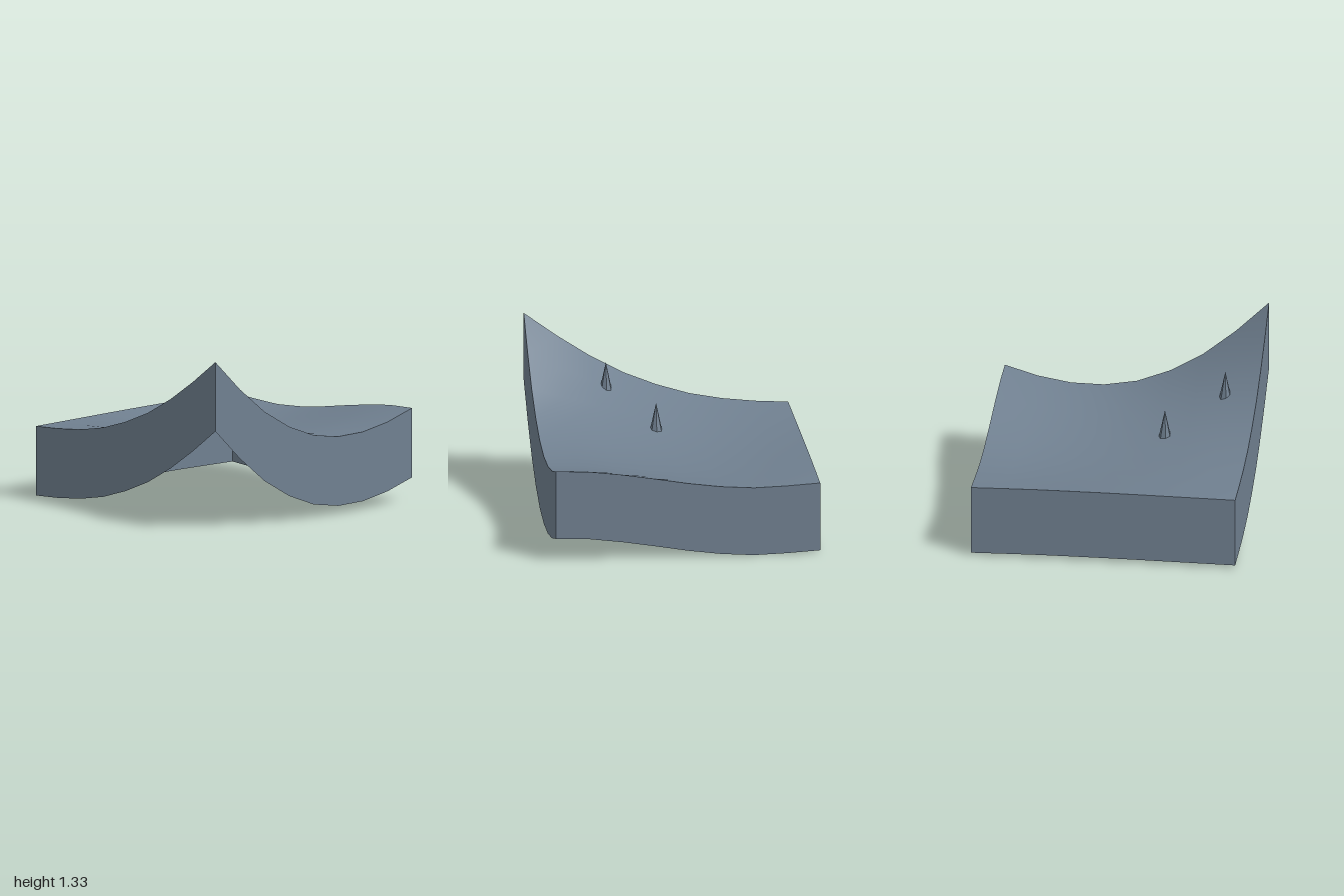
import * as THREE from 'three';

const SEGMENTS = 8;
const WALL_HEIGHT = 0.53;

// Heights along the four edges, from -1 to +1
const frontEdge = [0.553, 0.57, 0.6, 0.65, 0.73, 0.835, 0.975, 1.143, 1.33];
const backEdge = [0.55, 0.537, 0.531, 0.55, 0.585, 0.63, 0.672, 0.705, 0.717];
const leftEdge = [0.717, 0.643, 0.6, 0.597, 0.64, 0.738, 0.885, 1.088, 1.33];
const rightEdge = [0.55, 0.555, 0.559, 0.56, 0.56, 0.559, 0.557, 0.555, 0.553];

function along(edge, t) {
  const f = THREE.MathUtils.clamp((t + 1) / 2, 0, 1) * SEGMENTS;
  const i = Math.min(Math.floor(f), SEGMENTS - 1);
  return THREE.MathUtils.lerp(edge[i], edge[i + 1], f - i);
}

// Blend of the four edges with a gentle swelling in the middle
function heightAt(x, z) {
  const { lerp } = THREE.MathUtils;
  const u = (x + 1) / 2, v = (z + 1) / 2;
  const acrossZ = lerp(along(backEdge, x), along(frontEdge, x), v);
  const acrossX = lerp(along(rightEdge, z), along(leftEdge, z), u);
  const corners = lerp(lerp(backEdge[0], backEdge[8], u), lerp(frontEdge[0], frontEdge[8], u), v);
  const swell = (1 - x * x) * (1 - z * z) * (0.058 + 0.02 * x + 0.06 * z);
  return acrossZ + acrossX - corners + swell;
}

// Lift every vertex by the terrain height
function drape(geometry) {
  const p = geometry.attributes.position;
  for (let i = 0; i < p.count; i++) {
    p.setY(i, p.getY(i) + heightAt(p.getX(i), p.getZ(i)));
  }
  geometry.computeVertexNormals();
  return geometry;
}

export function createModel() {
  const group = new THREE.Group();
  group.name = 'terrainTile';
  const slate = new THREE.MeshStandardMaterial({ color: 0x708090, side: THREE.DoubleSide });
  slate.name = 'slate';

  const add = (name, geometry) => {
    const mesh = new THREE.Mesh(geometry, slate);
    mesh.name = name;
    group.add(mesh);
    return mesh;
  };

  // Curved ground sheet
  add('ground', drape(new THREE.PlaneGeometry(2, 2, SEGMENTS, SEGMENTS).rotateX(-Math.PI / 2)));

  // Walls hanging from the edges, open underneath
  ['frontWall', 'leftWall', 'backWall', 'rightWall'].forEach((name, k) => {
    const wall = new THREE.PlaneGeometry(2, WALL_HEIGHT, SEGMENTS, 1);
    wall.translate(0, -WALL_HEIGHT / 2, 1).rotateY(k * Math.PI / 2);
    add(name, drape(wall));
  });

  // Small seven-sided spikes standing on the ground
  const spike = new THREE.ConeGeometry(0.052, 0.24, 7).toNonIndexed();
  spike.rotateY(Math.PI).translate(0, -0.12, 0);
  spike.computeVertexNormals();
  [[0.08, 0.8, 0.33], [0.41, 1.0, 0.745]].forEach(([x, tip, z], i) => {
    add('spike' + (i + 1), spike).position.set(x, tip, z);
  });

  return group;
}
